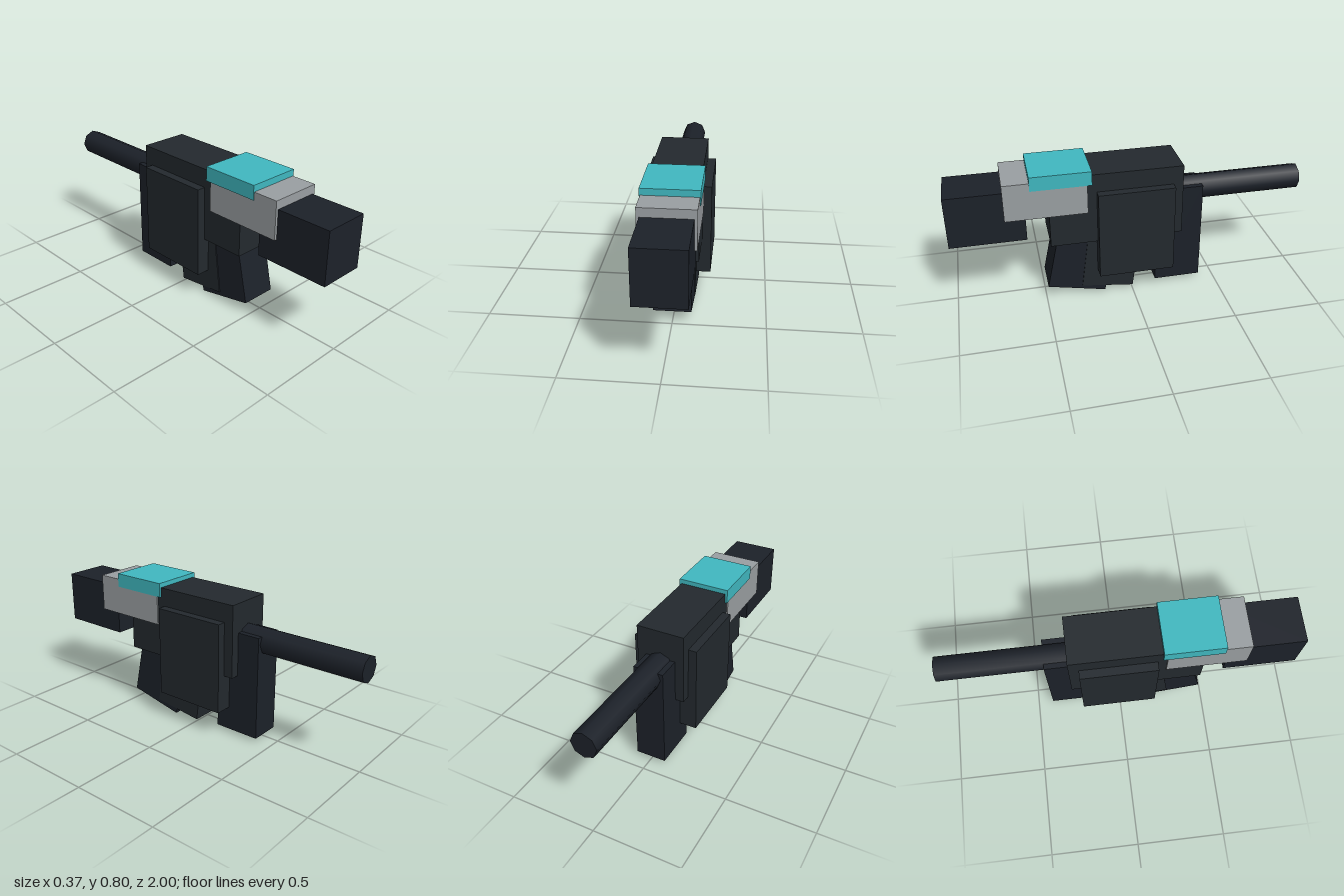
import * as THREE from 'three';

const mat = (color) => new THREE.MeshStandardMaterial({ color });

export function createModel() {
  const model = new THREE.Group();
  const dark = mat(0x1c2129);
  const charcoal = mat(0x23292e);
  const silver = mat(0x9a9fa2);
  const teal = mat(0x40b8c0);

  const add = (name, geometry, material) => {
    const mesh = new THREE.Mesh(geometry, material);
    mesh.name = name;
    model.add(mesh);
    return mesh;
  };

  // Box centred on x = 0, given its half width and its y and z ranges
  const block = (name, material, halfWidth, y0, y1, z0, z1) => {
    const mesh = add(name, new THREE.BoxGeometry(2 * halfWidth, y1 - y0, z1 - z0), material);
    mesh.position.set(0, (y0 + y1) / 2, (z0 + z1) / 2);
    return mesh;
  };

  // Main housing and the wider block through its sides
  block('body', charcoal, 0.137, 0.362, 0.774, -0.28, 0.46);
  block('sideHousing', charcoal, 0.185, 0.155, 0.67, -0.225, 0.2);

  // Front nose, its collar and the coloured top plate
  block('nose', dark, 0.13, 0.42, 0.715, 0.585, 1);
  block('collar', silver, 0.145, 0.552, 0.764, 0.25, 0.697);
  block('topPlate', teal, 0.15, 0.72, 0.8, 0.225, 0.555);

  // Upright block at the rear
  block('rearBlock', dark, 0.087, 0.02, 0.61, -0.412, -0.145);

  // Two overlapping legs, leaning back towards the top
  const frontLeg = block('frontLeg', dark, 0.102, 0.03, 0.43, 0.114, 0.449);
  frontLeg.rotation.x = -0.21;
  const rearLeg = block('rearLeg', charcoal, 0.107, 0.03, 0.43, -0.031, 0.267);
  rearLeg.rotation.x = -0.127;

  // Eight-sided rear rod with smooth sides
  const rod = add('rod', new THREE.CylinderGeometry(0.073, 0.073, 0.8, 8), dark);
  rod.rotation.x = Math.PI / 2;
  rod.position.set(0, 0.57, -0.6);

  return model;
}
